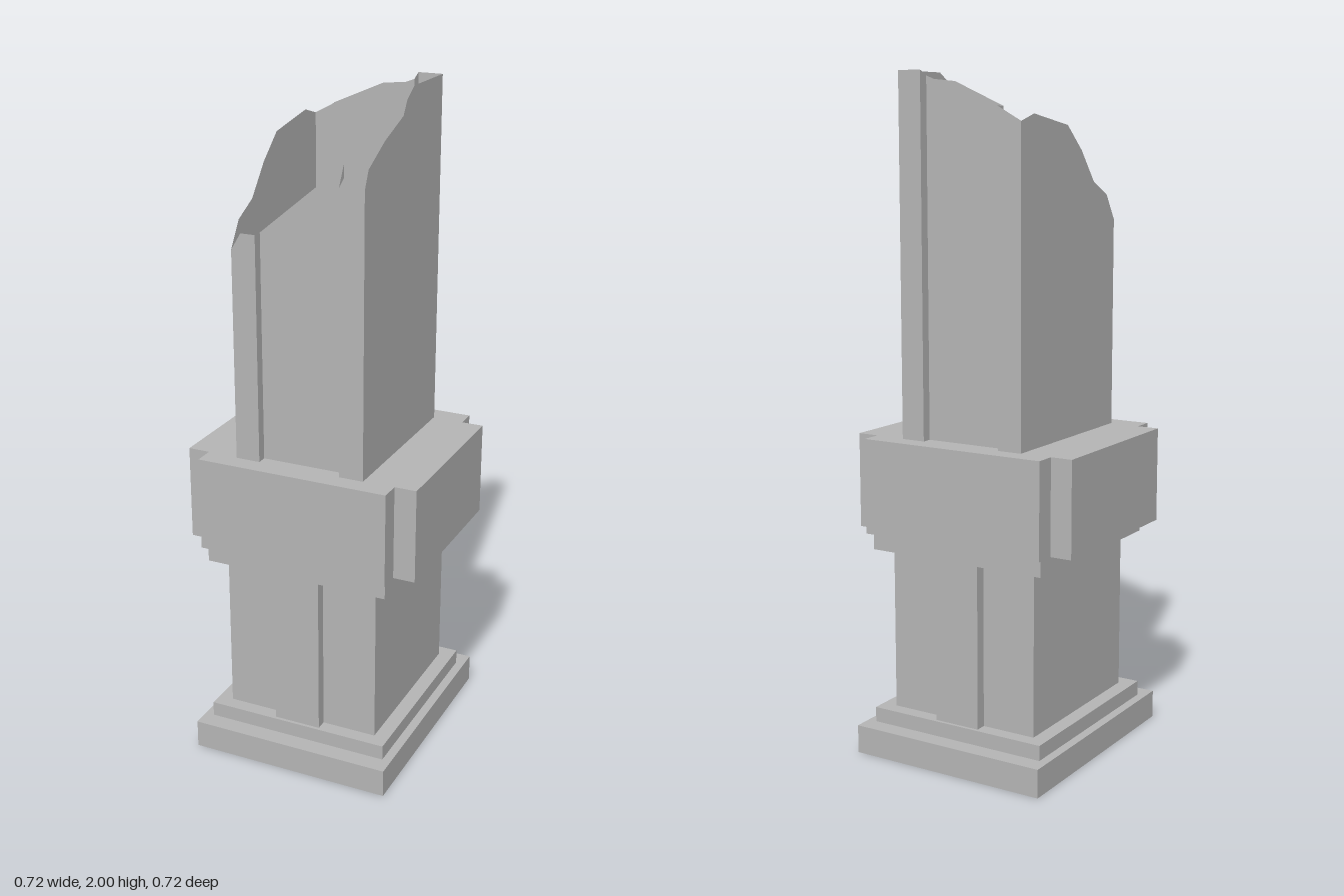
import * as THREE from 'three';

export function createModel() {
  const model = new THREE.Group();
  model.name = 'brokenPillar';
  const stone = new THREE.MeshStandardMaterial({ color: 0xb4b4b4, side: THREE.DoubleSide });
  stone.name = 'grey stone';

  const add = (name, geometry, parent = model) => {
    const mesh = new THREE.Mesh(geometry, stone);
    mesh.name = name;
    parent.add(mesh);
    return mesh;
  };
  // block given by half width, half depth, bottom and top
  const block = (name, hx, hz, y0, y1) => {
    const geometry = new THREE.BoxGeometry(hx * 2, y1 - y0, hz * 2);
    geometry.translate(0, (y0 + y1) / 2, 0);
    return add(name, geometry);
  };

  // base slab, open underneath (bottom face left out)
  const slab = block('baseSlab', 0.312, 0.36, 0, 0.085).geometry;
  const index = Array.from(slab.index.array);
  index.splice(18, 6);
  slab.setIndex(index);
  slab.clearGroups();

  // pedestal with a raised central strip on front and back
  block('lowerMoulding', 0.285, 0.305, 0.085, 0.13);
  block('pedestal', 0.24, 0.262, 0.13, 0.62);
  block('pedestalStrip', 0.072, 0.295, 0.13, 0.62);
  block('upperMoulding', 0.285, 0.302, 0.62, 0.672);

  // capital with notched corners, one cross-shaped outline
  const [wx, nx, wz, nz] = [0.36, 0.294, 0.326, 0.264];
  const outline = [
    [nx, wz], [nx, nz], [wx, nz], [wx, -nz], [nx, -nz], [nx, -wz],
    [-nx, -wz], [-nx, -nz], [-wx, -nz], [-wx, nz], [-nx, nz], [-nx, wz],
  ].map(([x, z]) => new THREE.Vector2(x, z));
  const capital = new THREE.ExtrudeGeometry(new THREE.Shape(outline), { depth: 0.283, bevelEnabled: false });
  capital.rotateX(-Math.PI / 2);
  capital.translate(0, 0.672, 0);
  add('capital', capital);

  // hollow shaft of thin walls with a jagged top; points are [x, z, topHeight]
  const shaft = new THREE.Group();
  shaft.name = 'brokenShaft';
  model.add(shaft);
  const wall = (name, points) => {
    const positions = [];
    for (let i = 0; i < points.length - 1; i++) {
      const [ax, az, ay] = points[i];
      const [bx, bz, by] = points[i + 1];
      const y = 0.955;
      positions.push(ax, y, az, bx, y, bz, bx, by, bz, ax, y, az, bx, by, bz, ax, ay, az);
    }
    const geometry = new THREE.BufferGeometry();
    geometry.setAttribute('position', new THREE.Float32BufferAttribute(positions, 3));
    geometry.computeVertexNormals();
    add(name, geometry, shaft);
  };
  const X = 0.2, Z = 0.268, P = 0.126, R = 0.238; // outer half sizes, pilaster edge, recessed panel depth

  wall('frontRightPilaster', [[-X, Z, 1.575], [-0.17, Z, 1.625], [-P, Z, 1.625]]);
  wall('frontRightReturn', [[-P, Z, 1.625], [-P, R, 1.625]]);
  wall('frontPanel', [[-P, R, 1.625], [P, R, 1.835]]);
  wall('frontLeftReturn', [[P, R, 1.835], [P, Z, 1.78]]);
  wall('frontLeftPilaster', [[P, Z, 1.78], [0.16, Z, 1.845], [X, Z, 1.78]]);
  wall('leftWall', [
    [X, Z, 1.78], [X, 0.245, 1.83], [X, 0.14, 1.885], [X, 0.015, 1.93],
    [X, -0.01, 1.97], [X, -0.06, 2], [X, -Z, 2],
  ]);
  wall('backLeftPilaster', [[X, -Z, 2], [P, -Z, 2]]);
  wall('backLeftReturn', [[P, -Z, 2], [P, -R, 1.985]]);
  wall('backPanel', [[P, -R, 1.985], [0.1, -R, 1.975], [0.03, -R, 1.968], [-P, -R, 1.9]]);
  wall('backRightReturn', [[-P, -R, 1.9], [-P, -Z, 1.9]]);
  wall('backRightPilaster', [[-P, -Z, 1.9], [-X, -Z, 1.86]]);
  wall('rightWall', [
    [-X, -Z, 1.86], [-X, -0.2, 1.88], [-X, -0.015, 1.85], [-X, 0.066, 1.78],
    [-X, 0.14, 1.69], [-X, 0.22, 1.65], [-X, Z, 1.575],
  ]);

  return model;
}
